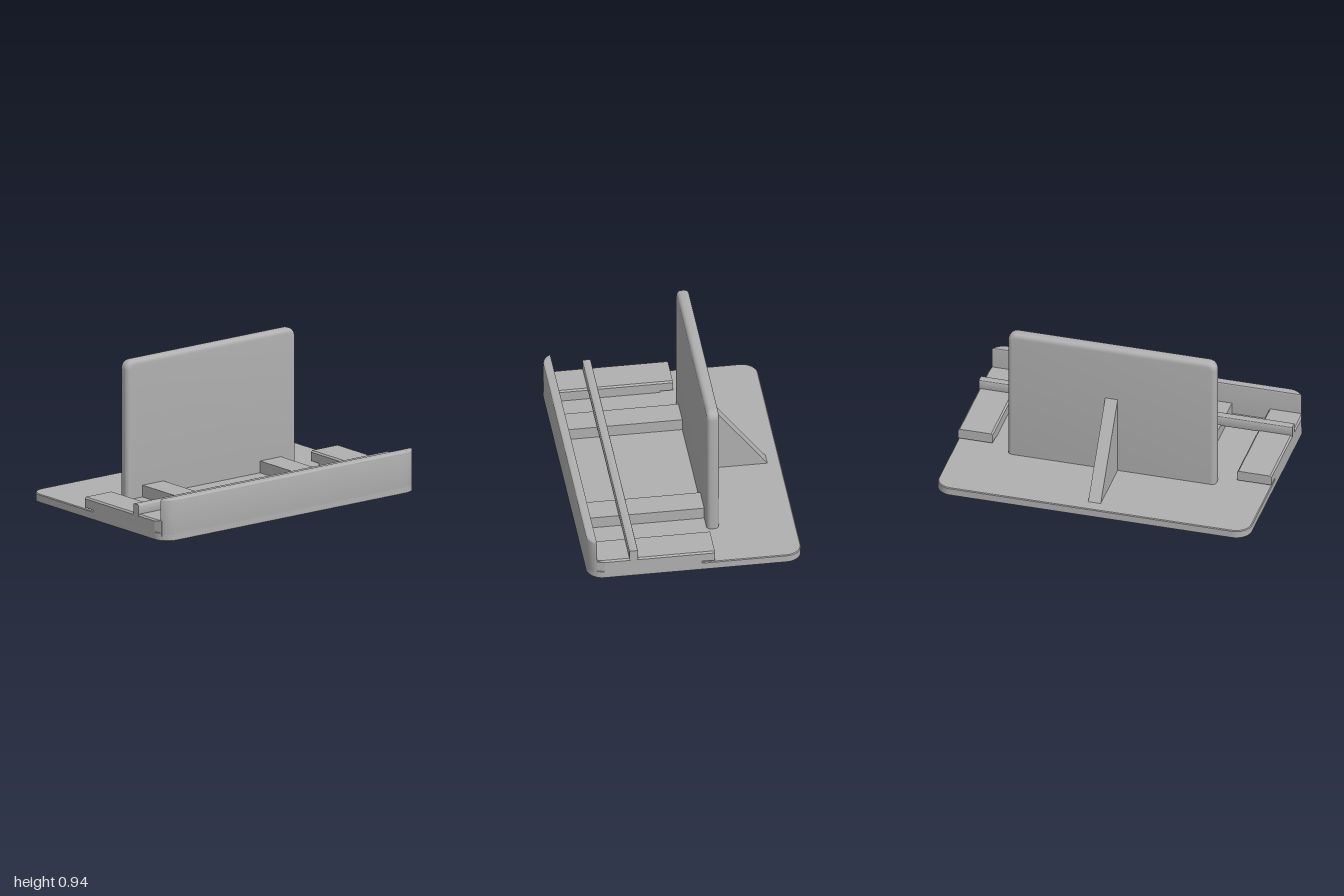
import * as THREE from 'three';
import { toCreasedNormals } from 'three/addons/utils/BufferGeometryUtils.js';

const W = 1, D = 0.667, R = 0.1; // half width, half depth, corner radius
const FLOOR = 0.055;             // top of the base plate

// Rounded rectangle centred on (0, cy)
function roundedRect(hw, hh, r, cy = 0) {
  const s = new THREE.Shape();
  s.absarc(hw - r, cy + hh - r, r, 0, Math.PI / 2);
  s.absarc(-hw + r, cy + hh - r, r, Math.PI / 2, Math.PI);
  s.absarc(-hw + r, cy - hh + r, r, Math.PI, Math.PI * 1.5);
  s.absarc(hw - r, cy - hh + r, r, Math.PI * 1.5, Math.PI * 2);
  s.closePath();
  return s;
}

// Extrusion whose total depth and outline include the bevel
function extrude(shape, depth, bevel = 0, bevelSegments = 1) {
  const g = new THREE.ExtrudeGeometry(shape, {
    depth: depth - 2 * bevel, curveSegments: 10,
    bevelEnabled: bevel > 0, bevelThickness: bevel, bevelSize: bevel,
    bevelOffset: -bevel, bevelSegments,
  });
  g.translate(0, 0, bevel);
  return g;
}

// Plan outline in (x, z), filled from y0 up to y1
function plan(shape, y0, y1, bevel, segments) {
  const g = extrude(shape, y1 - y0, bevel, segments);
  g.rotateX(Math.PI / 2);
  g.translate(0, y1, 0);
  return g;
}

export function createModel() {
  const model = new THREE.Group();
  model.name = 'deviceStand';
  const grey = new THREE.MeshStandardMaterial({ color: 0xb0b0b0 });
  grey.name = 'plain grey';

  function add(name, geometry, parent = model) {
    const mesh = new THREE.Mesh(toCreasedNormals(geometry, 0.5), grey);
    mesh.name = name;
    parent.add(mesh);
    return mesh;
  }

  // Base plate
  add('basePlate', plan(roundedRect(W, D, R), 0, FLOOR, 0.005, 1));

  // Front lip following the rounded corners of the base
  const a = Math.asin((0.613 - (D - R)) / R);
  const lip = new THREE.Shape();
  lip.absarc(W - R, D - R, R, a, Math.PI / 2);
  lip.absarc(-W + R, D - R, R, Math.PI / 2, Math.PI - a);
  lip.closePath();
  add('frontLip', plan(lip, 0.03, 0.267, 0.01, 4));

  // Upright back panel with rounded edges
  const panel = extrude(roundedRect(0.665, 0.4625, 0.055, 0.4725), 0.077, 0.028, 5);
  panel.translate(0, 0, -0.197);
  add('backPanel', panel);

  // Triangular brace behind the panel
  const tri = new THREE.Shape([[0.18, 0.04], [0.18, 0.575], [0.195, 0.575], [0.587, FLOOR], [0.587, 0.04]]
    .map(([x, y]) => new THREE.Vector2(x, y)));
  const brace = extrude(tri, 0.08);
  brace.rotateY(Math.PI / 2);
  brace.translate(-0.04, 0, 0);
  add('rearBrace', brace);

  // Side blocks and inner runners, mirrored
  const top = 0.13, c = 0.01;
  for (const side of [-1, 1]) {
    const block = new THREE.Group();
    block.name = side > 0 ? 'leftSideBlock' : 'rightSideBlock';
    model.add(block);
    // rear overhang, main length, and corner end: z0, z1, underside
    for (const [z0, z1, y0] of [[-0.12, -0.04, 0.065], [-0.04, 0.567, 0.03], [0.567, 0.62, 0.03]]) {
      const x0 = 0.78, x1 = 1;
      const pts = [[x0, y0], [x1, y0], [x1, top - c], [x1 - c, top], [x0 + c, top], [x0, top - c]];
      const shape = new THREE.Shape(pts.map(([x, y]) => new THREE.Vector2(side * x, y)));
      const g = extrude(shape, z1 - z0);
      g.translate(0, 0, z0);
      // pull the front end in to follow the rounded corner
      const p = g.attributes.position;
      for (let i = 0; i < p.count; i++) {
        if (p.getZ(i) > 0.6 && Math.abs(p.getX(i)) > 0.986) p.setX(i, side * 0.986);
      }
      add('blockSection', g, block);
    }

    const runner = new THREE.BoxGeometry(0.165, top - 0.03, 0.745);
    runner.translate(side * 0.4625, (top + 0.03) / 2, 0.2475);
    add(side > 0 ? 'leftRunner' : 'rightRunner', runner);
  }

  // Cross rail resting on the blocks
  const rail = extrude(roundedRect(0.026, 0.035, 0.008, 0.155), 2 * W);
  rail.rotateY(Math.PI / 2);
  rail.translate(-W, 0, 0.384);
  add('crossRail', rail);

  return model;
}
